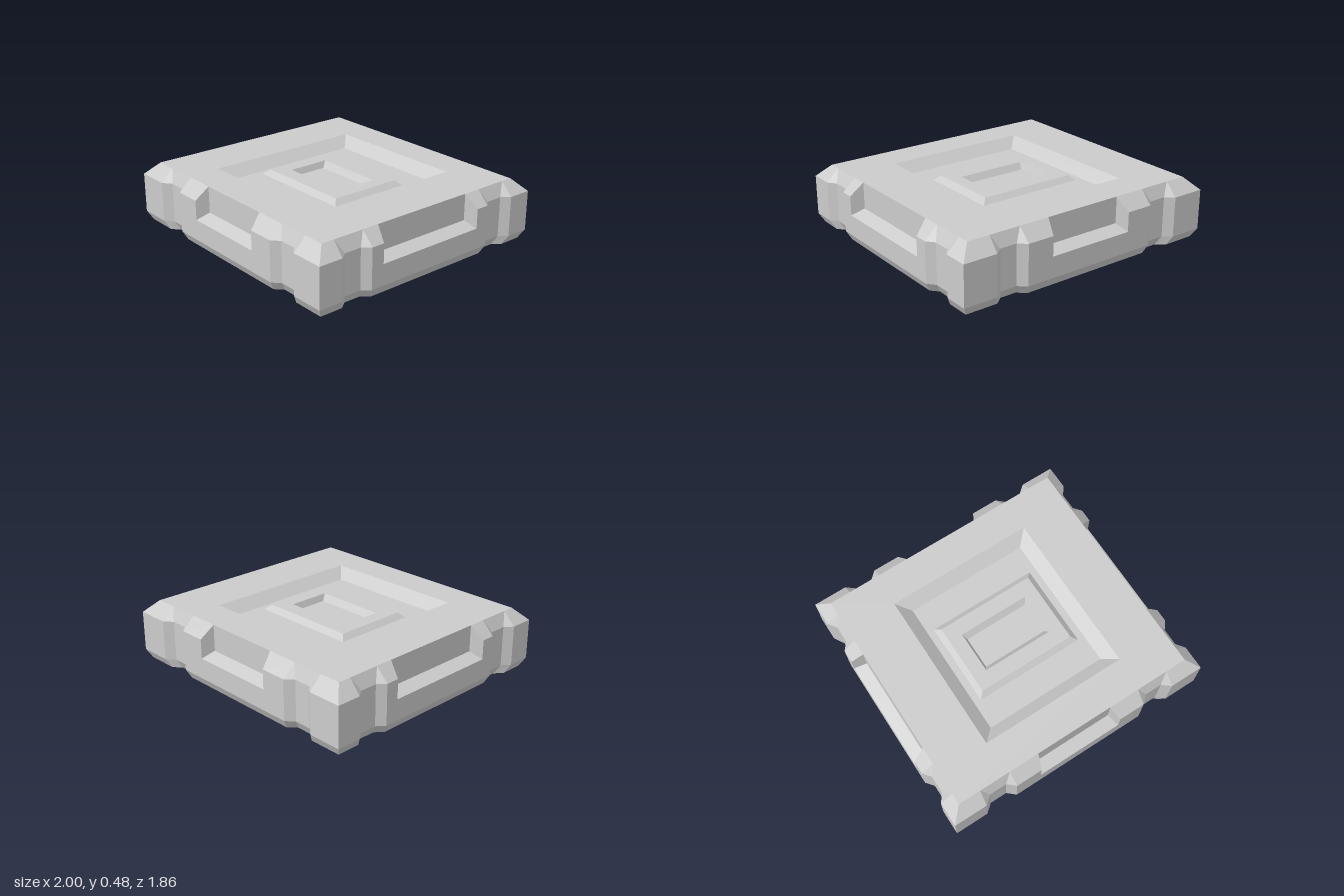
import * as THREE from 'three';

const material = new THREE.MeshStandardMaterial({ color: 0xcccccc, flatShading: true });

// Mesh from a list of four-cornered faces
function quadMesh(name, quads) {
  const pos = [];
  for (const [a, b, c, d] of quads) pos.push(...a, ...b, ...c, ...a, ...c, ...d);
  const geo = new THREE.BufferGeometry();
  geo.setAttribute('position', new THREE.Float32BufferAttribute(pos, 3));
  geo.computeVertexNormals();
  const mesh = new THREE.Mesh(geo, material);
  mesh.name = name;
  return mesh;
}

// Nested rectangles [half width, half depth, y] joined one to the next
function rectLoft(name, rings) {
  const corners = ([w, d, y]) => [[-w, y, d], [w, y, d], [w, y, -d], [-w, y, -d]];
  const quads = [];
  for (let i = 0; i < rings.length - 1; i++) {
    const a = corners(rings[i]), b = corners(rings[i + 1]);
    for (let k = 0; k < 4; k++) {
      const n = (k + 1) % 4;
      quads.push([a[k], a[n], b[n], b[k]]);
    }
  }
  return quadMesh(name, quads);
}

// One side wall facing +z: W half length, D distance out, n half width of the handle notch
function sideWall(name, W, D, n, groove) {
  const P = (u, inset, y) => [u, y, D - inset];
  // columns: [u, inset, u at the top edge]
  const half = [
    [n, 0, n - 0.03], [0.515, 0, 0.515], [0.57, groove, 0.52],
    [0.695, groove, 0.745], [0.755, 0, 0.755], [W, 0, W - 0.09],
  ];
  const columns = [...half.map(([u, i, t]) => [-u, i, -t]).reverse(), ...half];
  const rim = 0.13, low = 0.035;
  const rows = ([u, i, t]) => [
    P(u * (W - rim) / W, rim, 0.035),
    P(u * (W - low) / W, i + low, 0.035),
    P(u, i, 0.1),
    P(u, i, 0.39),
    P(t, 0.09, 0.48),
  ];
  const quads = [];
  for (let c = 0; c < columns.length - 1; c++) {
    const a = rows(columns[c]), b = rows(columns[c + 1]);
    const isNotch = c === half.length - 1;
    for (let r = 0; r < (isNotch ? 2 : 4); r++) quads.push([a[r], b[r], b[r + 1], a[r + 1]]);
  }
  // handle notch: wall below, sloping sill, back and two cheeks
  const m = n - 0.03;
  quads.push(
    [P(-n, 0, 0.1), P(n, 0, 0.1), P(n, 0, 0.25), P(-n, 0, 0.25)],
    [P(-n, 0, 0.25), P(n, 0, 0.25), P(m, 0.09, 0.29), P(-m, 0.09, 0.29)],
    [P(-m, 0.09, 0.29), P(m, 0.09, 0.29), P(m, 0.09, 0.48), P(-m, 0.09, 0.48)],
    [P(-n, 0, 0.25), P(-m, 0.09, 0.29), P(-m, 0.09, 0.48), P(-n, 0, 0.39)],
    [P(n, 0, 0.25), P(n, 0, 0.39), P(m, 0.09, 0.48), P(m, 0.09, 0.29)],
  );
  return quadMesh(name, quads);
}

export function createModel() {
  const model = new THREE.Group();
  model.name = 'crate';

  // four side walls
  ['frontWall', 'leftWall', 'backWall', 'rightWall'].forEach((name, k) => {
    const wall = k % 2 ? sideWall(name, 0.93, 1, 0.42, 0.045) : sideWall(name, 1, 0.93, 0.32, 0.05);
    wall.geometry.rotateY(k * Math.PI / 2);
    model.add(wall);
  });

  // lid: sunken field, raised panel, small pocket
  model.add(rectLoft('lid', [
    [0.91, 0.84, 0.48], [0.54, 0.595, 0.48], [0.45, 0.505, 0.41], [0.4, 0.305, 0.41],
    [0.36, 0.265, 0.445], [0.26, 0.155, 0.445], [0.24, 0.12, 0.4], [0, 0, 0.4],
  ]));

  // base plate standing in a groove
  model.add(rectLoft('basePlate', [
    [0, 0, 0], [0.74, 0.66, 0], [0.81, 0.73, 0.13], [0.85, 0.78, 0.13], [0.87, 0.8, 0.035],
  ]));

  return model;
}
